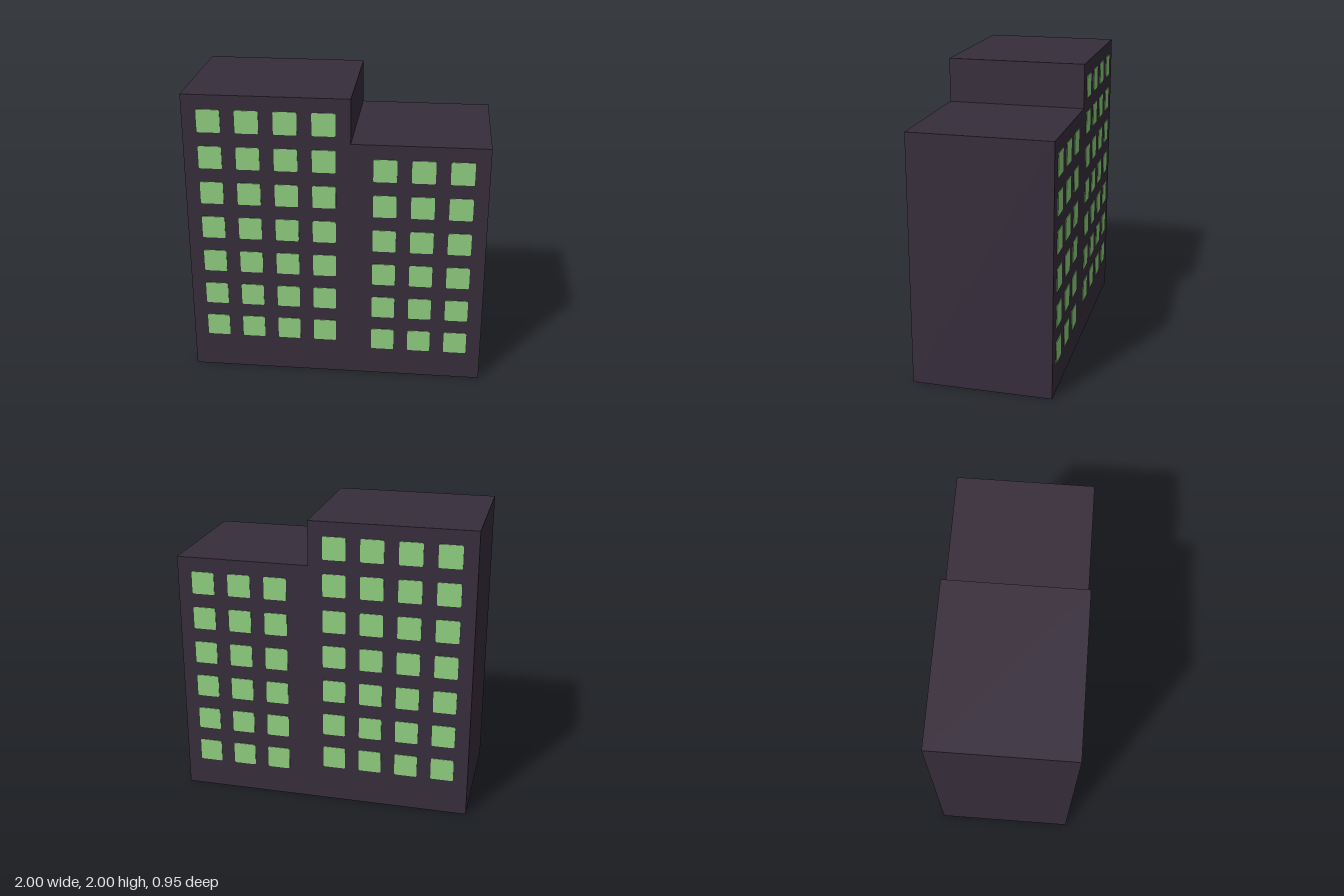
import * as THREE from 'three';

const HALF_DEPTH = 0.47;   // wall planes at z = +-HALF_DEPTH
const PANE = 0.155;        // window size
const PITCH = 0.25;        // window spacing in both directions
const PANE_DEPTH = 0.004;

// Rounded square pane, centred on its origin
function paneGeometry() {
  const h = PANE / 2, r = 0.012;
  const s = new THREE.Shape();
  s.moveTo(-h + r, -h);
  s.lineTo(h - r, -h);
  s.quadraticCurveTo(h, -h, h, -h + r);
  s.lineTo(h, h - r);
  s.quadraticCurveTo(h, h, h - r, h);
  s.lineTo(-h + r, h);
  s.quadraticCurveTo(-h, h, -h, h - r);
  s.lineTo(-h, -h + r);
  s.quadraticCurveTo(-h, -h, -h + r, -h);
  return new THREE.ExtrudeGeometry(s, { depth: PANE_DEPTH, bevelEnabled: false, curveSegments: 4 });
}

export function createModel() {
  const building = new THREE.Group();
  building.name = 'apartmentBuilding';

  const wall = new THREE.MeshStandardMaterial({ color: 0x372d3b });
  wall.name = 'darkWall';
  const glass = new THREE.MeshStandardMaterial({ color: 0x8fce7f });
  glass.name = 'greenWindow';

  // Stepped body: tall wing on -x, lower wing on +x
  const outline = new THREE.Shape([
    [-1, 0], [1, 0], [1, 1.7], [0.1, 1.7], [0.1, 2], [-1, 2],
  ].map(([x, y]) => new THREE.Vector2(x, y)));
  const bodyGeometry = new THREE.ExtrudeGeometry(outline, { depth: 2 * HALF_DEPTH, bevelEnabled: false });
  bodyGeometry.translate(0, 0, -HALF_DEPTH);
  const body = new THREE.Mesh(bodyGeometry, wall);
  body.name = 'body';
  building.add(body);

  // Window grids, repeated on the front and back walls
  const pane = paneGeometry();
  const wings = [
    { name: 'tallWing', x: -0.825, y: 0.325, columns: 4, rows: 7 },
    { name: 'lowWing', x: 0.325, y: 0.275, columns: 3, rows: 6 },
  ];
  for (const side of [1, -1]) {
    for (const wing of wings) {
      const grid = new THREE.Group();
      grid.name = wing.name + (side > 0 ? 'FrontWindows' : 'BackWindows');
      for (let row = 0; row < wing.rows; row++) {
        for (let column = 0; column < wing.columns; column++) {
          const w = new THREE.Mesh(pane, glass);
          w.name = 'window';
          w.position.set(wing.x + column * PITCH, wing.y + row * PITCH, side * HALF_DEPTH);
          if (side < 0) w.rotation.y = Math.PI;
          grid.add(w);
        }
      }
      building.add(grid);
    }
  }
  return building;
}
